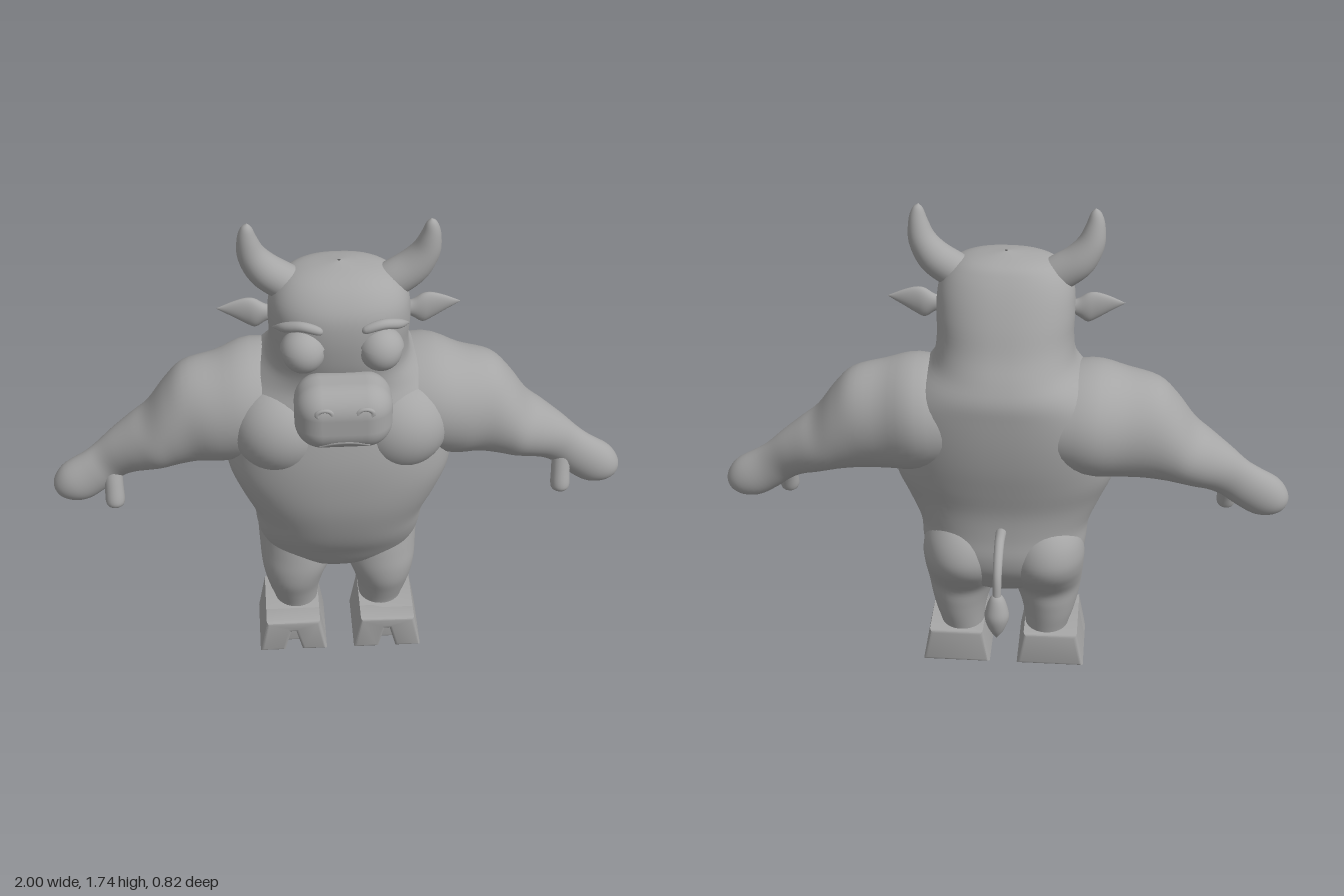
import * as THREE from 'three';
import { toCreasedNormals } from 'three/addons/utils/BufferGeometryUtils.js';
import { RoundedBoxGeometry } from 'three/addons/geometries/RoundedBoxGeometry.js';

const V = (x, y, z) => new THREE.Vector3(x, y, z);

// Smooth skin through rings [centre, u, v]; u x v points along the loft
function loft(rings, { power = 2, sides = 40, steps = 4 } = {}) {
  const [C, U, W] = [0, 1, 2].map(k => new THREE.CatmullRomCurve3(rings.map(r => r[k]), false, 'catmullrom', 0.5));
  const rows = (rings.length - 1) * steps, pos = [], index = [];
  const soft = t => Math.sign(t) * Math.abs(t) ** (2 / power);
  for (let i = 0; i <= rows; i++) {
    const c = C.getPoint(i / rows), u = U.getPoint(i / rows), w = W.getPoint(i / rows);
    for (let j = 0; j < sides; j++) {
      const a = (j / sides) * Math.PI * 2;
      const p = c.clone().addScaledVector(u, soft(Math.cos(a))).addScaledVector(w, soft(Math.sin(a)));
      pos.push(p.x, p.y, p.z);
      if (i < rows) {
        const k = (j + 1) % sides, n = i * sides, m = n + sides;
        index.push(n + j, n + k, m + j, n + k, m + k, m + j);
      }
    }
  }
  const g = new THREE.BufferGeometry();
  g.setAttribute('position', new THREE.Float32BufferAttribute(pos, 3));
  g.setIndex(index);
  g.computeVertexNormals();
  return g;
}

// Horizontal ring from y, x range and z range
const flatRing = (y, x0, x1, zf, zb) =>
  [V((x0 + x1) / 2, y, (zf + zb) / 2), V(0, 0, (zf - zb) / 2), V((x1 - x0) / 2, 0, 0)];

// Round limb along points with a radius at each one
function taper(points, radii, ref, opts) {
  return loft(points.map((p, i) => {
    const d = points[Math.min(i + 1, points.length - 1)].clone().sub(points[Math.max(i - 1, 0)]).normalize();
    const u = ref.clone().cross(d).normalize();
    return [p, u.clone().multiplyScalar(radii[i]), d.clone().cross(u).multiplyScalar(radii[i])];
  }), opts);
}

function ellipsoid(x, y, z, rx, ry, rz) {
  return new THREE.SphereGeometry(1, 40, 28).scale(rx, ry, rz).translate(x, y, z);
}

function mirrored(geo) {
  const g = geo.clone().applyMatrix4(new THREE.Matrix4().makeScale(-1, 1, 1));
  const idx = g.index ? Array.from(g.index.array) : Array.from({ length: g.attributes.position.count }, (_, i) => i);
  for (let i = 0; i < idx.length; i += 3) [idx[i + 1], idx[i + 2]] = [idx[i + 2], idx[i + 1]];
  g.setIndex(idx);
  return g;
}

function extrude(points, z0, z1, bevel) {
  const g = new THREE.ExtrudeGeometry(new THREE.Shape(points.map(p => new THREE.Vector2(...p))), {
    depth: z1 - z0 - 2 * bevel, bevelThickness: bevel, bevelSize: bevel, bevelOffset: -bevel, bevelSegments: 3,
  });
  return toCreasedNormals(g.translate(0, 0, z0 + bevel), 0.6);
}

export function createModel() {
  const model = new THREE.Group();
  const grey = new THREE.MeshStandardMaterial({ color: 0xa6a6a6, side: THREE.DoubleSide });
  grey.name = 'clay grey';
  const add = (name, geo) => {
    const m = new THREE.Mesh(geo, grey);
    m.name = name;
    model.add(m);
  };
  const pair = (name, geo) => {
    add('left' + name, geo);
    add('right' + name, mirrored(geo));
  };

  // Torso, neck and head: y, half width, front z, back z
  const trunk = [
    [0.31, 0.02, 0.05, -0.03], [0.335, 0.12, 0.1, -0.08], [0.38, 0.22, 0.14, -0.12], [0.45, 0.275, 0.18, -0.165],
    [0.52, 0.292, 0.22, -0.18], [0.6, 0.302, 0.25, -0.175], [0.7, 0.345, 0.275, -0.178], [0.8, 0.385, 0.285, -0.2],
    [0.9, 0.39, 0.285, -0.222], [1.0, 0.385, 0.272, -0.235], [1.1, 0.355, 0.25, -0.24], [1.17, 0.3, 0.235, -0.238],
    [1.235, 0.245, 0.245, -0.212], [1.31, 0.232, 0.262, -0.172], [1.4, 0.235, 0.27, -0.135], [1.48, 0.226, 0.26, -0.095],
    [1.54, 0.19, 0.22, -0.055], [1.575, 0.125, 0.165, -0.015], [1.595, 0.005, 0.08, 0.07],
  ];
  add('torsoAndHead', loft(trunk.map(([y, w, f, b]) => flatRing(y, -w, w, f, b)), { power: 2.35, sides: 64 }));
  pair('Pec', ellipsoid(0.2, 0.99, 0.13, 0.17, 0.165, 0.158));

  // Arms and hands: top x, y, bottom x, y, front z, back z
  const arm = [
    [0.12, 1.19, 0.12, 0.86, 0.18, -0.2], [0.3, 1.222, 0.27, 0.82, 0.21, -0.222], [0.42, 1.19, 0.4, 0.803, 0.2, -0.178],
    [0.53, 1.16, 0.48, 0.798, 0.176, -0.155], [0.596, 1.094, 0.55, 0.788, 0.166, -0.138],
    [0.66, 1.005, 0.605, 0.777, 0.155, -0.12], [0.72, 0.957, 0.655, 0.763, 0.13, -0.1],
    [0.79, 0.9, 0.71, 0.747, 0.1, -0.07], [0.845, 0.85, 0.76, 0.72, 0.08, -0.045], [0.89, 0.817, 0.81, 0.68, 0.085, -0.036],
    [0.958, 0.775, 0.87, 0.643, 0.094, -0.036], [0.99, 0.735, 0.92, 0.635, 0.085, -0.026],
    [1.0, 0.698, 0.963, 0.645, 0.062, -0.002], [0.988, 0.665, 0.988, 0.665, 0.03, 0.03],
  ];
  pair('Arm', loft(arm.map(([tx, ty, bx, by, f, b]) => [
    V((tx + bx) / 2, (ty + by) / 2, (f + b) / 2), V((tx - bx) / 2, (ty - by) / 2, 0), V(0, 0, (f - b) / 2),
  ])));
  pair('Thumb', taper([V(0.79, 0.75, 0.045), V(0.787, 0.7, 0.065), V(0.786, 0.655, 0.08), V(0.786, 0.635, 0.085), V(0.786, 0.623, 0.087)],
    [0.034, 0.033, 0.034, 0.026, 0], V(0, 0, 1), { sides: 20 }));

  // Legs and buttocks: y, inner x, outer x, front z, back z
  const leg = [
    [0.1, 0.08, 0.23, 0.1, -0.065], [0.14, 0.077, 0.234, 0.102, -0.07], [0.2, 0.07, 0.253, 0.12, -0.08],
    [0.26, 0.055, 0.268, 0.14, -0.087], [0.32, 0.032, 0.278, 0.146, -0.095], [0.38, 0.015, 0.283, 0.142, -0.14],
    [0.44, 0.008, 0.287, 0.135, -0.185], [0.5, 0.01, 0.288, 0.125, -0.2], [0.57, 0.03, 0.27, 0.09, -0.18],
    [0.63, 0.08, 0.22, 0.03, -0.13], [0.66, 0.15, 0.15, -0.05, -0.05],
  ];
  pair('Leg', loft(leg.map(r => flatRing(...r))));

  // Cloven hooves: solid heel and notched toe
  const outline = [[0.295, 0.003], [0.27, 0.14], [0.075, 0.14], [0.05, 0.003]];
  const notch = [[0.14, 0.003], [0.163, 0.09], [0.18, 0.09], [0.203, 0.003]];
  pair('HoofHeel', extrude(outline, -0.085, 0.14, 0.014));
  pair('HoofToe', extrude([...outline, ...notch], 0.1, 0.19, 0.012));

  // Muzzle with nostrils and a drooping mouth
  add('muzzle', new RoundedBoxGeometry(0.32, 0.23, 0.22, 8, 0.088).translate(0, 1.165, 0.3));
  pair('Nostril', new THREE.TorusGeometry(0.02, 0.008, 10, 24).scale(1.2, 0.8, 1).translate(0.066, 1.215, 0.4));
  const lips = new THREE.CatmullRomCurve3([V(-0.08, 1.085, 0.387), V(-0.04, 1.1, 0.396), V(0, 1.104, 0.398), V(0.04, 1.1, 0.396), V(0.08, 1.085, 0.387)]);
  add('mouth', new THREE.TubeGeometry(lips, 24, 0.008, 8));

  // Eyes, heavy lids and brows
  pair('Eye', new THREE.SphereGeometry(0.07, 32, 20).translate(0.125, 1.352, 0.238));
  pair('Eyelid', new THREE.SphereGeometry(0.077, 32, 12, 0, Math.PI * 2, 0, Math.PI * 0.42)
    .rotateZ(-0.05).translate(0.125, 1.354, 0.236));
  pair('Brow', taper([V(0.06, 1.432, 0.258), V(0.075, 1.444, 0.262), V(0.13, 1.458, 0.255), V(0.185, 1.44, 0.225), V(0.225, 1.412, 0.175)],
    [0, 0.014, 0.017, 0.016, 0], V(0, 0, 1), { sides: 16 }));

  // Horns curving out and up
  pair('Horn', taper([V(0.14, 1.5, 0.075), V(0.185, 1.525, 0.075), V(0.245, 1.57, 0.075), V(0.283, 1.63, 0.08), V(0.295, 1.69, 0.087), V(0.295, 1.73, 0.091), V(0.293, 1.747, 0.092)],
    [0.06, 0.062, 0.058, 0.046, 0.032, 0.018, 0], V(0, 0, 1), { sides: 28 }));

  // Leaf-shaped ears: x, y centre, half height, half depth
  const ear = [
    [0.2, 1.405, 0.02, 0.02], [0.24, 1.4, 0.03, 0.022], [0.275, 1.4, 0.052, 0.024], [0.305, 1.408, 0.048, 0.02],
    [0.345, 1.415, 0.03, 0.013], [0.38, 1.418, 0.012, 0.006], [0.402, 1.42, 0, 0],
  ];
  pair('Ear', loft(ear.map(([x, y, h, d]) => [V(x, y, 0.066), V(0, h, 0), V(0, 0, d)]), { sides: 24 }));

  // Tail with a tuft
  add('tail', taper([V(0, 0.63, -0.14), V(0, 0.64, -0.2), V(0, 0.64, -0.25), V(0, 0.61, -0.31), V(0, 0.56, -0.348), V(0, 0.48, -0.365)],
    [0.02, 0.018, 0.017, 0.016, 0.015, 0.014], V(1, 0, 0), { sides: 16 }));
  add('tailTuft', taper([V(0, 0.508, -0.36), V(0, 0.495, -0.361), V(0, 0.455, -0.364), V(0, 0.415, -0.367), V(0, 0.37, -0.374), V(0, 0.336, -0.379)],
    [0, 0.022, 0.037, 0.042, 0.025, 0], V(1, 0, 0), { sides: 20 }));

  return model;
}
